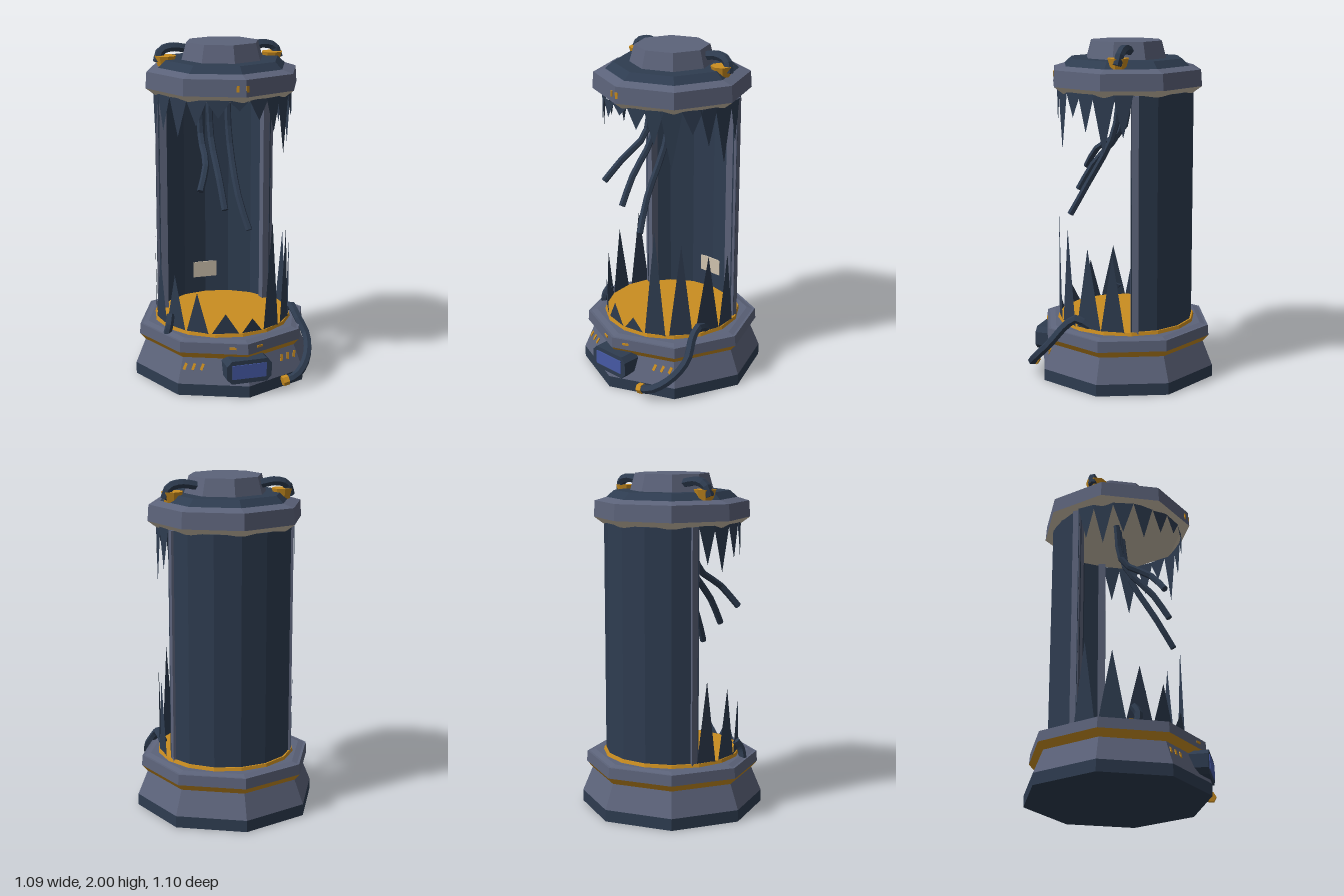
import * as THREE from 'three';

const mat = (name, color) => {
  const m = new THREE.MeshStandardMaterial({ color, flatShading: true, side: THREE.DoubleSide });
  m.name = name;
  return m;
};

export function createModel() {
  const gray = mat('steelGray', 0x5c637a);
  const navy = mat('darkNavy', 0x2e3c50);
  const orange = mat('orange', 0xca8d20);
  const beige = mat('beige', 0xcfc2ae);
  const blue = mat('screenBlue', 0x465aa6);

  const model = new THREE.Group();
  model.name = 'brokenTank';
  const add = (name, geo, material, parent = model) => {
    const mesh = new THREE.Mesh(geo, material);
    mesh.name = name;
    parent.add(mesh);
    return mesh;
  };
  // Stacked ring: bottom radius, top radius, bottom y, top y
  const tier = (name, rb, rt, y0, y1, material, sides = 8) => {
    const m = add(name, new THREE.CylinderGeometry(rt, rb, y1 - y0, sides), material);
    m.position.y = (y0 + y1) / 2;
  };
  const cable = (name, pts, r, sides = 6, material = navy) => {
    const curve = new THREE.CatmullRomCurve3(pts.map(p => new THREE.Vector3(...p)));
    const c = add(name, new THREE.TubeGeometry(curve, pts.length * 2, r, sides), material);
    // flat ends
    for (const t of [0, 1]) {
      const cap = add(name + 'End', new THREE.CircleGeometry(r, sides), material);
      cap.position.copy(curve.getPointAt(t));
      cap.lookAt(cap.position.clone().addScaledVector(curve.getTangentAt(t), t ? 1 : -1));
    }
    return c;
  };

  // Base
  tier('baseFoot', 0.545, 0.545, 0, 0.07, navy);
  tier('baseSkirt', 0.545, 0.485, 0.07, 0.215, gray);
  tier('baseBand', 0.485, 0.52, 0.215, 0.255, orange);
  tier('baseRing', 0.52, 0.515, 0.255, 0.318, gray);
  tier('baseRingTop', 0.5, 0.465, 0.318, 0.328, gray);
  tier('tankFloor', 0.415, 0.41, 0.328, 0.347, orange, 16);

  // Lid
  tier('lidUnderside', 0.405, 0.46, 1.705, 1.745, beige);
  tier('lidRing', 0.46, 0.453, 1.745, 1.84, gray);
  tier('lidShoulder', 0.45, 0.385, 1.84, 1.86, gray);
  tier('lidCollar', 0.385, 0.34, 1.86, 1.9, navy);
  tier('lidCap', 0.245, 0.217, 1.9, 2.0, gray);

  // Rear wall: faceted arc
  const step = Math.PI / 8;
  const arc = [];
  for (let i = 1; i <= 7; i++) arc.push(new THREE.Vector2(0.4 * Math.cos(i * step), 0.4 * Math.sin(i * step)));
  for (let i = 7; i >= 1; i--) arc.push(new THREE.Vector2(0.375 * Math.cos(i * step), 0.375 * Math.sin(i * step)));
  const wallGeo = new THREE.ExtrudeGeometry(new THREE.Shape(arc), { depth: 1.38, bevelEnabled: false });
  wallGeo.rotateX(-Math.PI / 2).translate(0, 0.335, 0);
  add('rearWall', wallGeo, navy);
  for (const s of [-1, 1]) {
    const post = add('wallPost', new THREE.BoxGeometry(0.065, 1.38, 0.045), gray);
    post.position.set(s * 0.332, 1.025, -0.165);
    post.rotation.y = s * 0.2;
  }

  // Broken glass: [angle from front in degrees, tip height, half width in degrees]
  const shards = (name, yBase, list) => {
    const at = (deg, y) => {
      const a = THREE.MathUtils.degToRad(deg);
      return [0.405 * Math.sin(a), y, 0.405 * Math.cos(a)];
    };
    const pos = [];
    for (const [a, tip, w] of list) pos.push(...at(a - w, yBase), ...at(a + w, yBase), ...at(a, tip));
    const g = new THREE.BufferGeometry();
    g.setAttribute('position', new THREE.Float32BufferAttribute(pos, 3));
    g.computeVertexNormals();
    add(name, g, navy);
  };
  shards('lowerShards', 0.34, [
    [-105, 0.83, 9], [-82, 0.76, 11], [-60, 0.67, 11], [-38, 0.59, 10], [-14, 0.47, 12], [9, 0.43, 10],
    [29, 1.0, 9], [51, 0.92, 10], [75, 0.83, 12], [97, 0.8, 10],
  ]);
  shards('upperShards', 1.72, [
    [-105, 1.5, 8], [-90, 1.45, 9], [-73, 1.52, 9], [-55, 1.5, 9], [-38, 1.57, 9], [-20, 1.62, 10], [-3, 1.66, 9],
    [14, 1.6, 9], [29, 1.52, 8], [43, 1.38, 9], [60, 1.58, 9], [74, 1.5, 8], [90, 1.38, 10], [106, 1.48, 8],
  ]);

  // Loose cables hanging inside
  for (const [x0, x1, x2, yMid, yTip] of [
    [-0.15, -0.17, -0.23, 1.33, 1.2], [-0.09, -0.09, -0.085, 1.24, 1.08], [0.02, 0.025, 0.06, 1.13, 0.95],
  ]) {
    cable('hangingCable', [[x0, 1.72, 0.03], [x0, 1.45, 0.07], [x1, yMid, 0.24], [x2, yTip, 0.335]], 0.02);
  }

  // Label on the inside of the wall
  add('wallLabel', new THREE.BoxGeometry(0.16, 0.1, 0.008), beige).position.set(-0.01, 0.5, -0.362);

  // Control panel with cut corners
  const w = 0.135, h = 0.07, c = 0.03;
  const frame = new THREE.Shape([
    [-w, -h + c], [-w + c, -h], [w - c, -h], [w, -h + c], [w, h - c], [w - c, h], [-w + c, h], [-w, h - c],
  ].map(p => new THREE.Vector2(...p)));
  add('panelFrame', new THREE.ExtrudeGeometry(frame, { depth: 0.125, bevelEnabled: false }), navy)
    .position.set(0, 0.165, 0.42);
  add('panelScreen', new THREE.BoxGeometry(0.205, 0.085, 0.008), blue).position.set(0, 0.167, 0.546);

  // Small painted marks on the two front faces
  const mark = (name, side, u, y, radius, sx, sy, tilt = 0, slant = 0) => {
    const g = new THREE.Group();
    g.rotation.y = side * step;
    const m = add(name, new THREE.BoxGeometry(sx, sy, 0.008), orange, g);
    m.position.set(u, y, radius * Math.cos(step));
    m.rotation.set(-tilt, 0, slant);
    model.add(g);
  };
  for (const s of [-1, 1]) {
    for (const u of [0.07, 0.12, 0.17]) mark('baseMark', s, s * u, 0.165, 0.506, 0.016, 0.04, 0.36, -0.35);
    mark('ringMark', s, s * -0.11, 0.29, 0.518, 0.04, 0.013);
  }
  mark('lidMark', 1, -0.165, 1.79, 0.457, 0.016, 0.035);
  mark('lidMark', -1, 0.13, 1.79, 0.457, 0.016, 0.035);

  // Lid hoses with their sockets
  for (const s of [-1, 1]) {
    add('hoseSocket', new THREE.CylinderGeometry(0.064, 0.046, 0.06, 8), orange).position.set(s * 0.325, 1.89, -0.06);
    cable('lidHose', [[s * 0.18, 1.95, -0.08], [s * 0.28, 1.965, -0.082], [s * 0.345, 1.945, -0.08], [s * 0.37, 1.88, -0.07]], 0.028);
  }

  // Cut base cable, its orange tip, and a stub on the other side
  cable('baseCable', [[0.23, 0.065, 0.51], [0.3, 0.08, 0.5], [0.39, 0.15, 0.43], [0.43, 0.25, 0.33],
    [0.395, 0.36, 0.24], [0.385, 0.4, 0.18], [0.37, 0.36, 0.1]], 0.026);
  cable('baseCableTip', [[0.215, 0.062, 0.51], [0.25, 0.068, 0.508]], 0.031, 6, orange);
  cable('cableStub', [[-0.4, 0.31, 0.2], [-0.385, 0.37, 0.2], [-0.37, 0.42, 0.17]], 0.024);

  return model;
}
